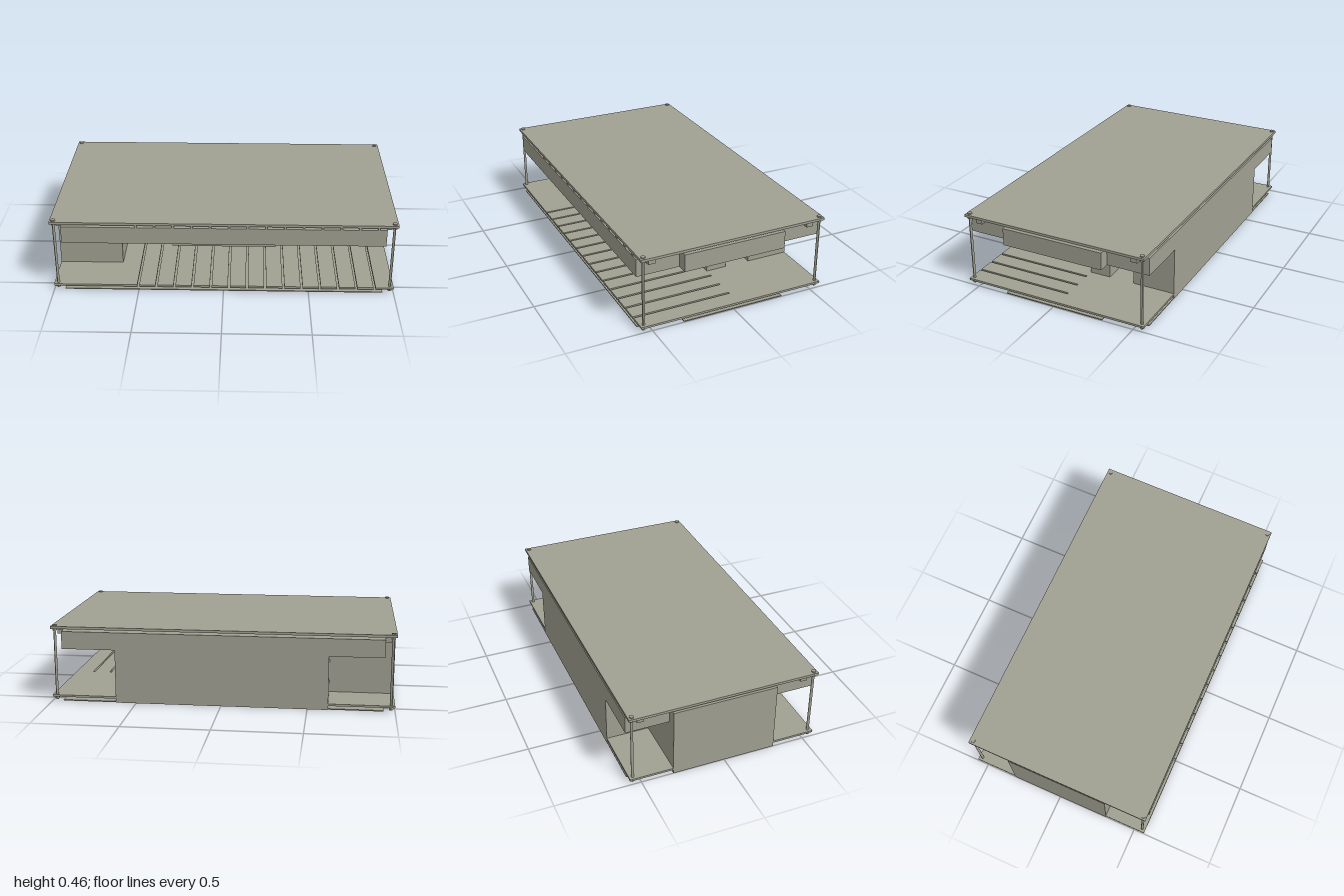
import * as THREE from 'three';

const material = new THREE.MeshStandardMaterial({ color: 0xa0a092, flatShading: true });

export function createModel() {
  const model = new THREE.Group();

  const add = (name, geometry, x = 0, y = 0, z = 0) => {
    const mesh = new THREE.Mesh(geometry, material);
    mesh.name = name;
    mesh.position.set(x, y, z);
    model.add(mesh);
  };

  // box given by its lower and upper limits
  const box = (name, x0, x1, y0, y1, z0, z1) =>
    add(name, new THREE.BoxGeometry(x1 - x0, y1 - y0, z1 - z0),
      (x0 + x1) / 2, (y0 + y1) / 2, (z0 + z1) / 2);

  // floor outline of [x, z] points raised from y0 to y1
  const slab = (name, points, y0, y1) => {
    const shape = new THREE.Shape(points.map(([x, z]) => new THREE.Vector2(x, -z)));
    const geometry = new THREE.ExtrudeGeometry(shape, { depth: y1 - y0, bevelEnabled: false });
    geometry.rotateX(-Math.PI / 2);
    add(name, geometry, 0, y0, 0);
  };

  const W = 1, D = 0.565;      // half width and depth of the plates
  const w = 0.935, d = 0.31;   // cross-shaped storey
  const slotXs = Array.from({ length: 14 }, (_, i) => -0.503 + i * 0.107);

  // bottom plate with slots open to the front
  const plate = [[-W, D]];
  for (const x of slotXs) {
    plate.push([x - 0.006, D], [x - 0.006, -0.03], [x + 0.006, -0.03], [x + 0.006, D]);
  }
  plate.push([W, D], [W, -D], [-W, -D]);
  slab('bottomPlate', plate, 0.024, 0.036);

  // top plate and the bars under it
  box('topPlate', -W, W, 0.434, 0.449, -D, D);
  for (const x of slotXs) box('topBar', x - 0.006, x + 0.006, 0.42, 0.434, -0.03, D);

  // base sheet and upper storey share a cross with cut corners for the posts
  const cross = [
    [-w, D], [w, D], [w, d], [W, d], [W, -d], [w, -d],
    [w, -D], [-w, -D], [-w, -d], [-W, -d], [-W, d], [-w, d],
  ];
  slab('baseSheet', cross, 0.002, 0.008);
  slab('upperStorey', cross, 0.316, 0.42);

  // lower storey: stepped outline, with two recesses in its lower half
  const west = [[-0.62, -D], [-0.62, -d], [-W, -d], [-W, d], [-0.62, d], [-0.62, 0]];
  slab('lowerStoreyBase', [
    ...west, [0.465, 0], [0.465, -0.03], [0.62, -0.03],
    [0.62, -0.155], [0.31, -0.155], [0.31, -d], [0.62, -d], [0.62, -D],
  ], 0, 0.157);
  slab('lowerStoreyTop', [...west, [0.62, 0], [0.62, -D]], 0.157, 0.316);
  box('hangingBlock', -0.315, 0.31, 0.157, 0.316, 0, d);

  // corner posts with nuts, bolt heads and small side brackets
  const post = new THREE.CylinderGeometry(0.008, 0.008, 0.446, 12);
  const nut = new THREE.CylinderGeometry(0.014, 0.014, 0.012, 6);
  const head = new THREE.CylinderGeometry(0.013, 0.013, 0.007, 12);
  for (const sx of [-1, 1]) {
    for (const sz of [-1, 1]) {
      const x = sx * 0.978, z = sz * 0.544;
      add('cornerPost', post, x, 0.228, z);
      add('lowerNut', nut, x, 0.017, z);
      add('upperNut', nut, x, 0.428, z);
      add('boltHead', head, x, 0.4525, z);
      const bx = sx * 0.953, bz = sz * 0.49;
      box('sideBracket', bx - 0.018, bx + 0.018, 0.394, 0.42, bz - 0.02, bz + 0.02);
    }
  }

  return model;
}
